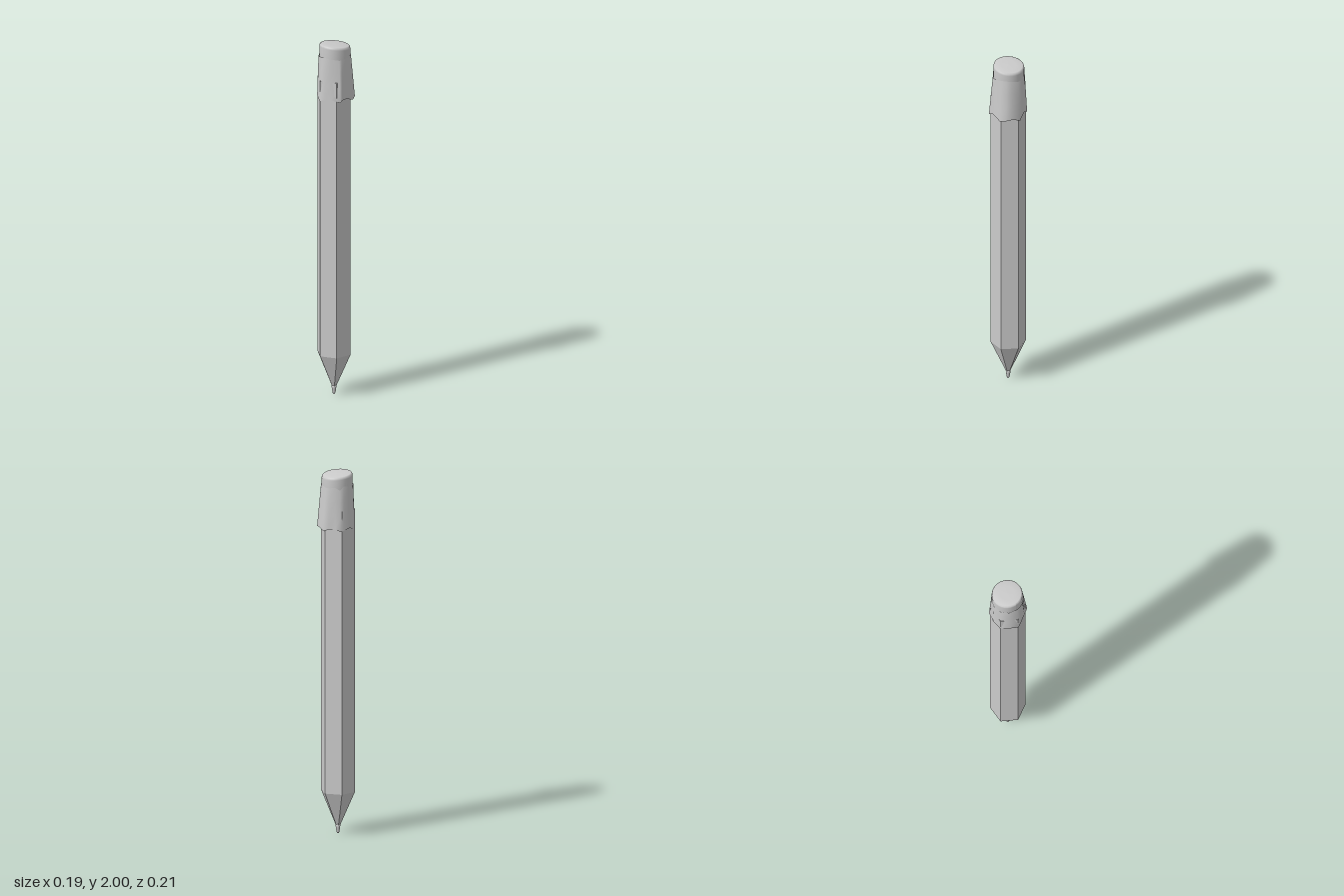
import * as THREE from 'three';

const CX = -0.004, CZ = 0.004; // axis of the shaft

function makeMaterial(options = {}) {
  return new THREE.MeshStandardMaterial({ color: 0xcccccc, ...options });
}

// Crimped sleeve: a strip between a flared, folded lower rim and a round upper rim
function sleeveGeometry() {
  const lower = [ // x, z, going round from the front towards +x
    [-0.004, 0.102], [0.022, 0.090], [0.052, 0.070], [0.097, 0.041], [0.087, 0.020],
    [0.093, -0.005], [0.090, -0.050], [0.070, -0.080], [0.040, -0.095], [-0.005, -0.105],
    [-0.030, -0.088], [-0.058, -0.066], [-0.086, -0.056], [-0.088, -0.030], [-0.098, 0.000],
    [-0.087, 0.050], [-0.050, 0.083],
  ];
  const rows = 3, n = lower.length;
  const positions = [], index = [];
  for (let r = 0; r <= rows; r++) {
    const t = r / rows;
    lower.forEach(([x, z], i) => {
      const dx = x - CX, a = Math.atan2(dx, z);
      const radius = THREE.MathUtils.lerp(Math.hypot(dx, z), 0.0875, t);
      const bottomY = 1.696 - 0.008 * Math.cos(6 * a);
      const topY = 1.93 + 0.006 * Math.sin(3 * a + 1) - (i === 12 ? 0.02 : 0);
      positions.push(CX + radius * Math.sin(a), THREE.MathUtils.lerp(bottomY, topY, t), radius * Math.cos(a));
    });
  }
  for (let r = 0; r < rows; r++) {
    for (let i = 0; i < n; i++) {
      const a = r * n + i, b = r * n + (i + 1) % n;
      index.push(a, b, b + n, a, b + n, a + n);
    }
  }
  const geometry = new THREE.BufferGeometry();
  geometry.setAttribute('position', new THREE.Float32BufferAttribute(positions, 3));
  geometry.setIndex(index);
  geometry.computeVertexNormals();
  return geometry;
}

// Worn eraser: rounded plug whose top slopes down towards the back
function eraserGeometry() {
  const profile = [[0, 1.72], [0.070, 1.72], [0.083, 1.90], [0.083, 1.975], [0.081, 1.985], [0.074, 1.99], [0.04, 1.991], [0, 1.992]];
  const geometry = new THREE.LatheGeometry(profile.map(([r, y]) => new THREE.Vector2(r, y)), 32);
  const p = geometry.attributes.position;
  for (let i = 0; i < p.count; i++) {
    if (p.getY(i) > 1.95) p.setY(i, p.getY(i) + 0.11 * p.getZ(i));
  }
  geometry.computeVertexNormals();
  return geometry;
}

export function createModel() {
  const model = new THREE.Group();
  model.name = 'pencil';
  const flat = makeMaterial({ flatShading: true });
  const smooth = makeMaterial();

  function add(name, geometry, material, x, y, z) {
    const mesh = new THREE.Mesh(geometry, material);
    mesh.name = name;
    mesh.position.set(x, y, z);
    model.add(mesh);
  }

  // Six-sided shaft, with corners to the front and back
  add('shaft', new THREE.CylinderGeometry(0.095, 0.095, 1.565, 6), flat, CX, 0.235 + 1.565 / 2, CZ);

  // Sharpened wood
  add('sharpenedWood', new THREE.CylinderGeometry(0.095, 0.014, 0.185, 6), flat, CX, 0.05 + 0.185 / 2, CZ);

  // Blunt lead point
  const lead = [[0, 0], [0.005, 0.002], [0.008, 0.01], [0.012, 0.035], [0.014, 0.055], [0, 0.055]]
    .map(([r, y]) => new THREE.Vector2(r, y));
  add('lead', new THREE.LatheGeometry(lead, 12), smooth, CX, 0, CZ);

  add('sleeve', sleeveGeometry(), makeMaterial({ side: THREE.DoubleSide }), 0, 0, 0);
  add('eraser', eraserGeometry(), smooth, CX, 0, -0.002);

  return model;
}
